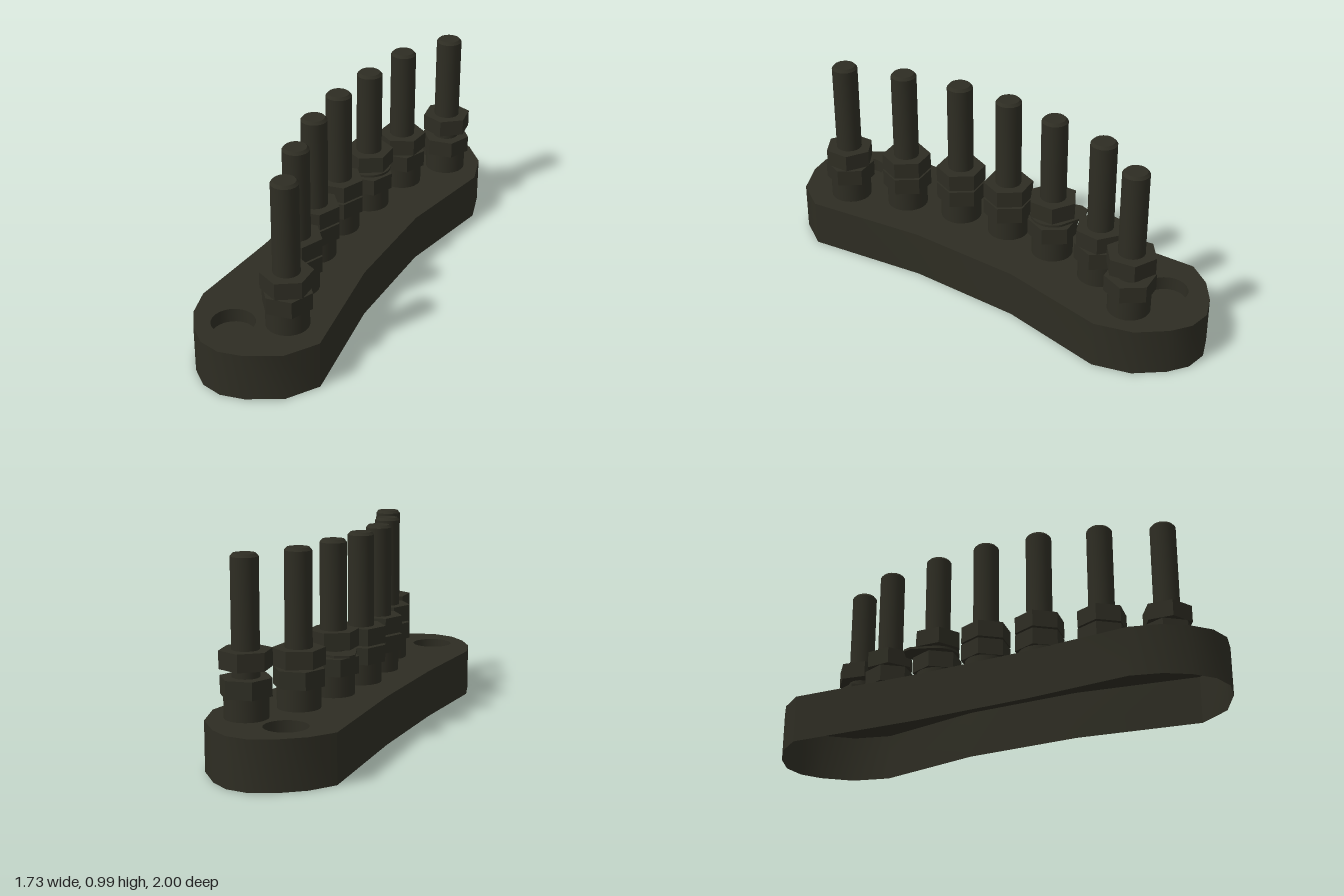
import * as THREE from 'three';
import { toCreasedNormals } from 'three/addons/utils/BufferGeometryUtils.js';

const BASE_TOP = 0.24;

// Plan outline of the base as [x, z]
const OUTLINE = [
  [0.34, -0.96], [0.48, -1], [0.62, -0.995], [0.74, -0.96], [0.82, -0.88],
  [0.855, -0.77], [0.86, -0.6], [0.785, -0.42], [0.37, -0.06], [0, 0.4],
  [-0.32, 0.94], [-0.495, 1], [-0.675, 0.965], [-0.78, 0.91], [-0.845, 0.82],
  [-0.865, 0.7], [-0.85, 0.57], [-0.79, 0.43], [-0.435, 0.04], [-0.065, -0.41],
];
const HOLES = [[0.53, -0.8], [-0.68, 0.69]];
const HOLE_R = 0.105;

// Each stud: x, z, bottom of the upper nut, turn of the upper nut in degrees
const STUDS = [
  [0.665, -0.6, 0.472, 30], [0.39, -0.485, 0.44, 17], [0.165, -0.275, 0.472, 23],
  [-0.035, -0.065, 0.44, 0], [-0.2, 0.17, 0.44, 0], [-0.335, 0.45, 0.44, 0],
  [-0.435, 0.75, 0.44, 24],
];

export function createModel() {
  const model = new THREE.Group();
  const dark = new THREE.MeshStandardMaterial({ color: 0x2e2d23, side: THREE.DoubleSide });
  dark.name = 'dark olive metal';

  function add(parent, name, geometry, x = 0, y = 0, z = 0) {
    const mesh = new THREE.Mesh(geometry, dark);
    mesh.name = name;
    mesh.position.set(x, y, z);
    parent.add(mesh);
    return mesh;
  }

  // Base: a shell open at the bottom
  const base = new THREE.Group();
  base.name = 'base';
  model.add(base);

  const plate = new THREE.Shape(OUTLINE.map(([x, z]) => new THREE.Vector2(x, -z)));
  for (const [x, z] of HOLES) {
    plate.holes.push(new THREE.Path().absarc(x, -z, HOLE_R, 0, Math.PI * 2, true));
  }
  add(base, 'topPlate', new THREE.ShapeGeometry(plate, 12).rotateX(-Math.PI / 2), 0, BASE_TOP, 0);

  const corners = [];
  OUTLINE.forEach(([ax, az], i) => {
    const [bx, bz] = OUTLINE[(i + 1) % OUTLINE.length];
    corners.push(ax, 0, az, ax, BASE_TOP, az, bx, BASE_TOP, bz);
    corners.push(ax, 0, az, bx, BASE_TOP, bz, bx, 0, bz);
  });
  const wall = new THREE.BufferGeometry();
  wall.setAttribute('position', new THREE.Float32BufferAttribute(corners, 3));
  add(base, 'sideWall', toCreasedNormals(wall, 0.6));

  // Round recesses near both ends
  const depth = 0.07;
  for (const [x, z] of HOLES) {
    add(base, 'recessWall', new THREE.CylinderGeometry(HOLE_R, HOLE_R, depth, 24, 1, true),
      x, BASE_TOP - depth / 2, z);
    add(base, 'recessFloor', new THREE.CircleGeometry(HOLE_R, 24).rotateX(-Math.PI / 2),
      x, BASE_TOP - depth, z);
  }

  // Shared stud parts
  const shaftProfile = [[0, 0.24], [0.065, 0.24], [0.065, 0.978], [0.053, 0.992], [0, 0.992]]
    .map(([r, y]) => new THREE.Vector2(r, y));
  const shaft = toCreasedNormals(new THREE.LatheGeometry(shaftProfile, 20), 0.5);
  const collar = new THREE.CylinderGeometry(0.104, 0.104, 0.105, 24);
  const nut = toCreasedNormals(new THREE.CylinderGeometry(0.125, 0.125, 0.085, 6), 0.5);

  for (const [x, z, nutY, turn] of STUDS) {
    const stud = new THREE.Group();
    stud.name = 'stud';
    stud.position.set(x, 0, z);
    add(stud, 'shaft', shaft);
    add(stud, 'collar', collar, 0, 0.2925, 0);
    add(stud, 'lowerNut', nut, 0, 0.3875, 0);
    add(stud, 'upperNut', nut, 0, nutY + 0.0425, 0).rotation.y = THREE.MathUtils.degToRad(turn);
    model.add(stud);
  }

  // Ring terminal with a tab clamped on the third stud
  const ring = new THREE.Shape();
  ring.absarc(0, 0, 0.112, Math.PI * 0.9, Math.PI * 2.1, false);
  ring.lineTo(0.04, 0.155);
  ring.lineTo(-0.03, 0.175);
  ring.lineTo(-0.065, 0.15);
  ring.holes.push(new THREE.Path().absarc(0, 0, 0.066, 0, Math.PI * 2, true));
  const ringGeometry = new THREE.ExtrudeGeometry(ring, { depth: 0.012, bevelEnabled: false, curveSegments: 16 });
  add(model, 'ringTerminal', ringGeometry.rotateX(-Math.PI / 2), STUDS[2][0], 0.446, STUDS[2][1]);

  return model;
}
